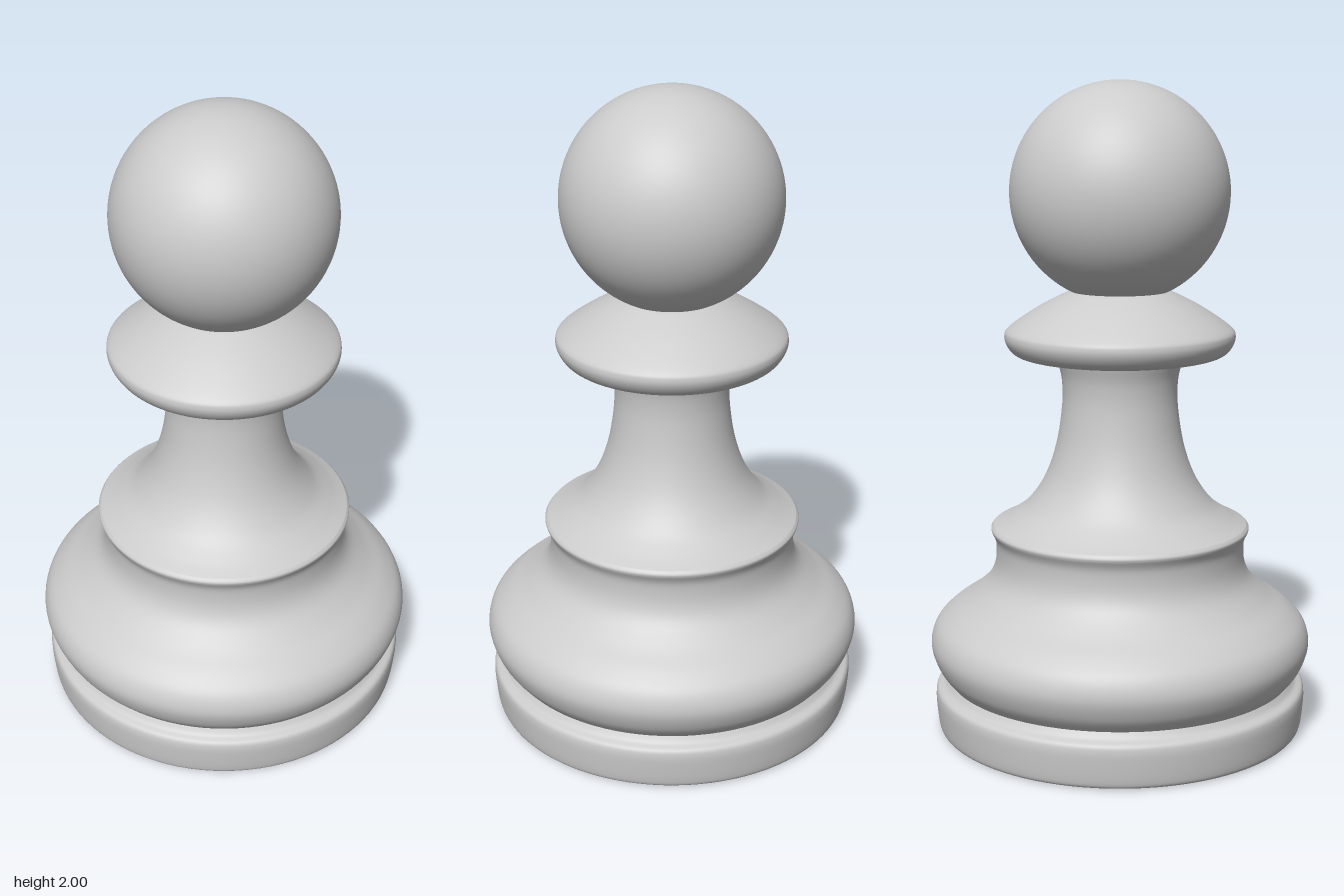
import * as THREE from 'three';

const SEGMENTS = 96;
const material = new THREE.MeshStandardMaterial({ color: 0xcccccc });

// Turned part: a smooth curve through [radius, height] points, spun about y
function turned(name, points, steps) {
  const curve = new THREE.SplineCurve(points.map(([r, y]) => new THREE.Vector2(r, y)));
  const mesh = new THREE.Mesh(new THREE.LatheGeometry(curve.getPoints(steps), SEGMENTS), material);
  mesh.name = name;
  return mesh;
}

export function createModel() {
  const group = new THREE.Group();
  group.name = 'pawn';

  // Flat underside
  const underside = new THREE.Mesh(new THREE.CircleGeometry(0.555, SEGMENTS), material);
  underside.rotation.x = Math.PI / 2;
  underside.name = 'underside';
  group.add(underside);

  // Plinth with rounded rims
  group.add(turned('plinth', [
    [0.555, 0], [0.568, 0.008], [0.574, 0.03], [0.579, 0.08], [0.58, 0.115],
    [0.574, 0.135], [0.553, 0.147], [0.54, 0.165],
  ], 42));

  // Bulging body, narrowing to a short waist under the ledge
  group.add(turned('body', [
    [0.54, 0.165], [0.573, 0.21], [0.592, 0.272], [0.577, 0.33], [0.532, 0.376],
    [0.468, 0.42], [0.413, 0.472], [0.389, 0.525], [0.386, 0.59], [0.399, 0.625],
  ], 54));

  // Ledge rim and concave neck
  group.add(turned('ledge', [[0.399, 0.625], [0.401, 0.635], [0.393, 0.645]], 6));
  group.add(turned('neck', [
    [0.393, 0.645], [0.345, 0.67], [0.286, 0.715], [0.232, 0.795], [0.196, 0.9],
    [0.178, 1.02], [0.179, 1.1], [0.192, 1.155],
  ], 42));

  // Collar: shallow underside, rounded rim, sloping top
  group.add(turned('collar', [
    [0.192, 1.155], [0.26, 1.165], [0.318, 1.178], [0.344, 1.203], [0.353, 1.235],
    [0.336, 1.262], [0.25, 1.32], [0.165, 1.364], [0.145, 1.37],
  ], 48));

  // Ball head
  const head = new THREE.Mesh(new THREE.SphereGeometry(0.333, SEGMENTS, 48), material);
  head.position.y = 1.667;
  head.name = 'head';
  group.add(head);

  return group;
}
